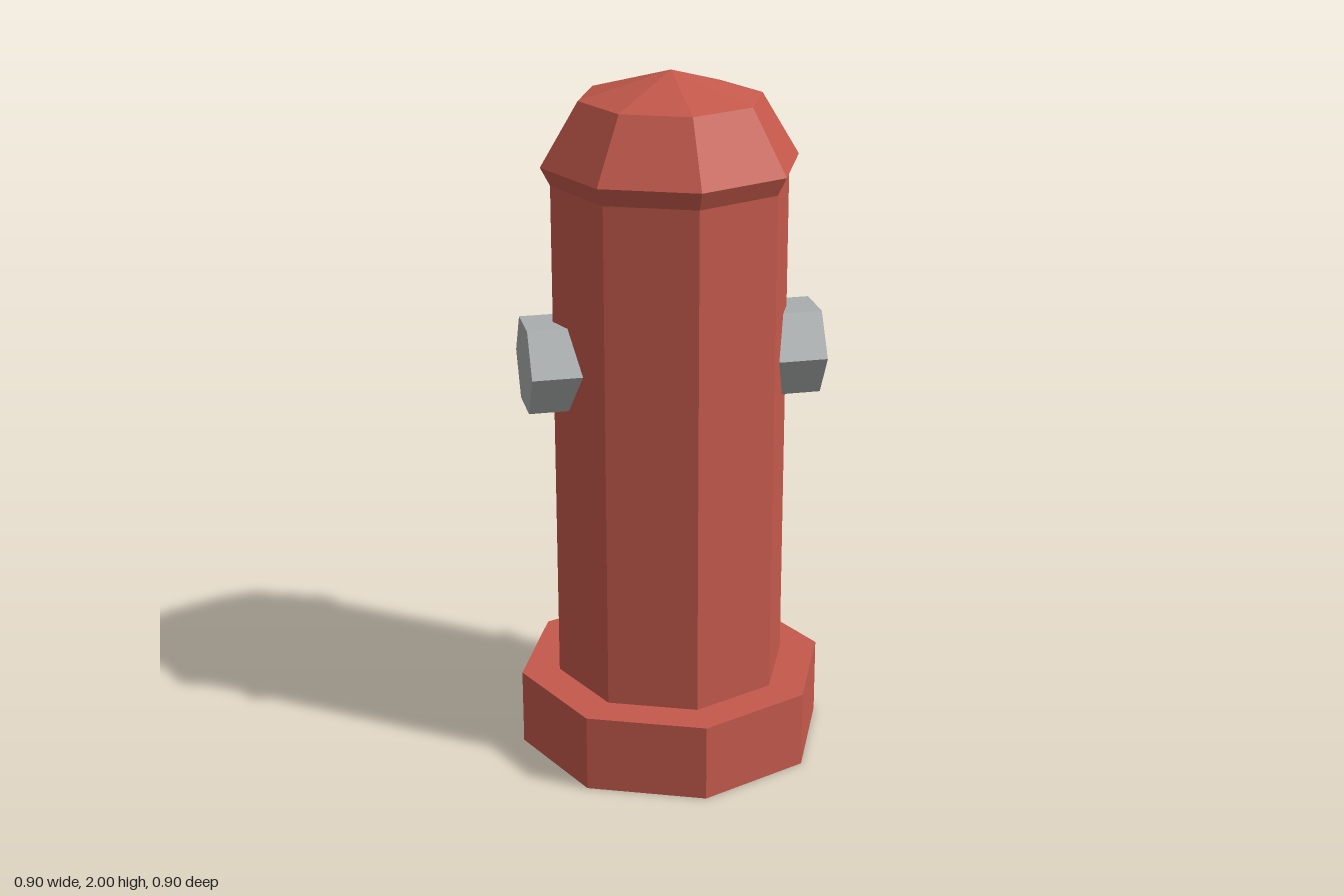
import * as THREE from 'three';

export function createModel() {
  const red = new THREE.MeshStandardMaterial({ color: 0xc4594b, flatShading: true });
  red.name = 'red paint';
  const grey = new THREE.MeshStandardMaterial({ color: 0xa9adad, flatShading: true });
  grey.name = 'grey metal';

  const hydrant = new THREE.Group();
  hydrant.name = 'hydrant';

  function add(name, geometry, material, x, y) {
    const mesh = new THREE.Mesh(geometry, material);
    mesh.name = name;
    mesh.position.set(x, y, 0);
    hydrant.add(mesh);
    return mesh;
  }

  // Octagonal foot and barrel
  add('base', new THREE.CylinderGeometry(0.45, 0.45, 0.225, 8), red, 0, 0.1125);
  add('barrel', new THREE.CylinderGeometry(0.338, 0.338, 1.5, 8), red, 0, 0.95);

  // Faceted dome, tucked in slightly below its widest ring
  const profile = [[0.336, 1.692], [0.365, 1.748], [0.258, 1.926], [0, 2]]
    .map(([r, y]) => new THREE.Vector2(r, y));
  add('cap', new THREE.LatheGeometry(profile, 8), red, 0, 0);

  // Hexagonal outlet caps on both sides
  for (const side of [1, -1]) {
    const outlet = add(side > 0 ? 'leftOutlet' : 'rightOutlet',
      new THREE.CylinderGeometry(0.14, 0.14, 0.22, 6), grey, side * 0.312, 1.185);
    outlet.rotation.z = -side * Math.PI / 2;
  }

  return hydrant;
}
